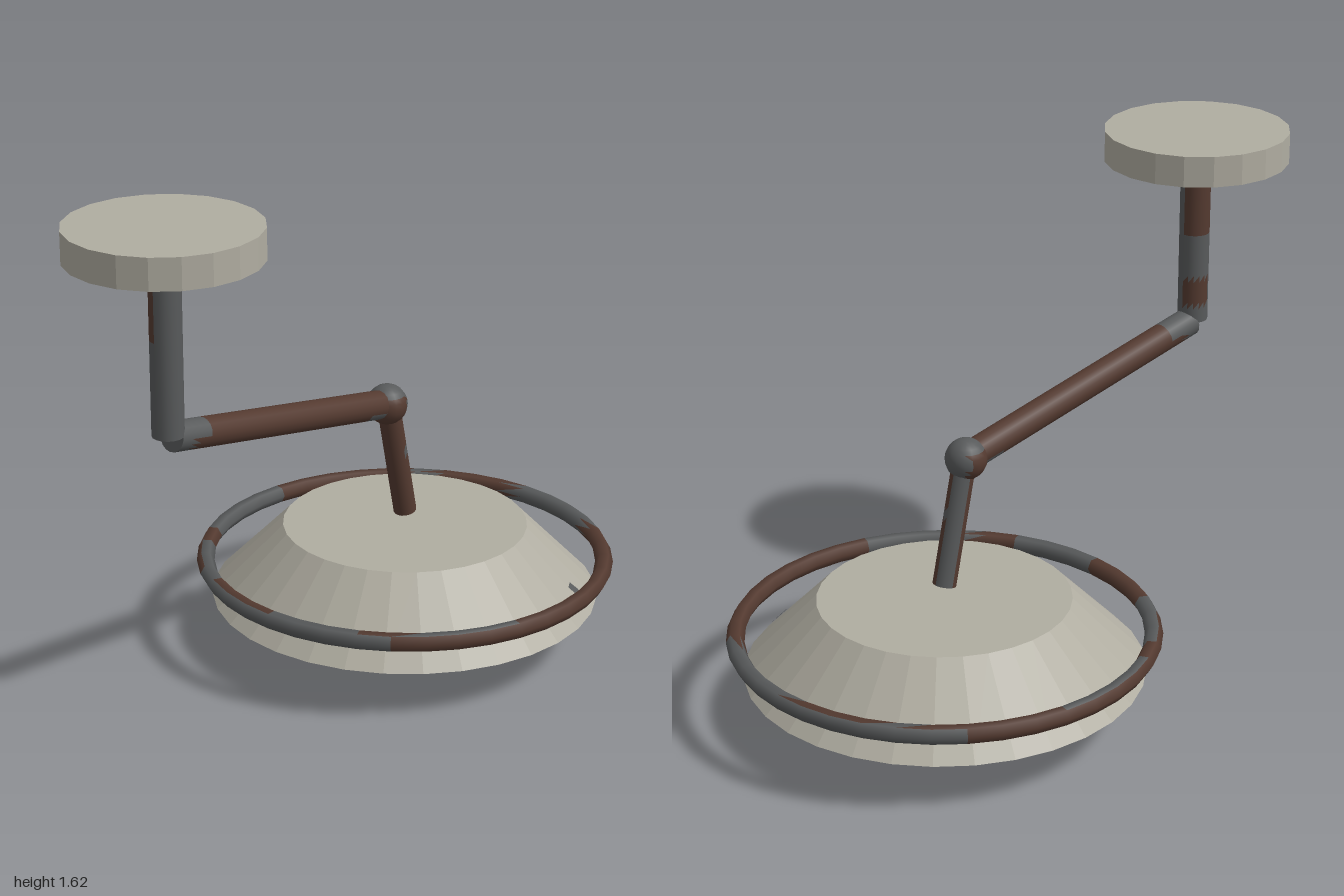
import * as THREE from 'three';

const mat = (name, color, flatShading = false) => {
  const m = new THREE.MeshStandardMaterial({ color, flatShading });
  m.name = name;
  return m;
};

// Splits a geometry into two material groups by a test on each face centre
function splitFaces(geometry, isSteel) {
  const g = geometry.toNonIndexed();
  const p = g.attributes.position;
  const sets = [[], []];
  for (let i = 0; i < p.count; i += 3) {
    const c = new THREE.Vector3();
    for (let k = 0; k < 3; k++) c.add(new THREE.Vector3().fromBufferAttribute(p, i + k));
    sets[isSteel(c.divideScalar(3)) ? 1 : 0].push(i, i + 1, i + 2);
  }
  g.setIndex([...sets[0], ...sets[1]]);
  g.clearGroups();
  g.addGroup(0, sets[0].length, 0);
  g.addGroup(sets[0].length, sets[1].length, 1);
  return g;
}

export function createModel() {
  const root = new THREE.Group();
  root.name = 'ceilingExamLamp';
  const enamel = mat('agedEnamel', 0xb0ada1);
  enamel.flatShading = true;
  const lensGlass = mat('lensGlass', 0xd8d3c7);
  const rust = mat('rust', 0x543a30);
  const steel = mat('darkSteel', 0x585a5b);
  const worn = [rust, steel];

  const add = (name, geometry, material, x = 0, y = 0, z = 0, parent = root) => {
    const m = new THREE.Mesh(geometry, material);
    m.name = name;
    m.position.set(x, y, z);
    parent.add(m);
    return m;
  };

  // Rod between two points in the z = 0 plane; the test gets t from start to end
  const rod = (name, r, a, b, isSteel) => {
    const dx = b[0] - a[0], dy = b[1] - a[1], len = Math.hypot(dx, dy);
    const g = splitFaces(new THREE.CylinderGeometry(r, r, len, 16, 24),
      (c) => isSteel(c.y / len + 0.5, c.x / r, c.z / r));
    const m = add(name, g, worn, (a[0] + b[0]) / 2, (a[1] + b[1]) / 2);
    m.rotation.z = Math.atan2(-dx, dy);
    return m;
  };

  // Ceiling mount and jointed arm
  add('ceilingPlate', new THREE.CylinderGeometry(0.285, 0.285, 0.095, 20), enamel, -0.715, 1.573);
  rod('dropPole', 0.047, [-0.715, 1.0], [-0.715, 1.53],
    (t, x, z) => !(z < -0.05 && (t > 0.53 || (t > 0.1 && t < 0.27 && x > -0.3))));
  rod('upperArm', 0.045, [-0.7, 0.992], [0.25, 0.81],
    (t, x) => t < 0.1 + (x < 0 ? 0.03 : -0.04) || (t > 0.87 && x > 0.3));
  rod('lowerArm', 0.036, [0.25, 0.81], [0.337, 0.425],
    (t, x, z) => x < 0 && z < 0 || (x < 0 && t > 0.4 && t < 0.48));
  add('elbowBall', splitFaces(new THREE.SphereGeometry(0.064, 16, 12),
    (c) => c.x > 0.03 || c.y > 0.035), worn, 0.245, 0.81);

  // Lamp head
  const head = new THREE.Group();
  head.name = 'lampHead';
  head.position.x = 0.337;
  root.add(head);
  add('lampShade', new THREE.CylinderGeometry(0.385, 0.61, 0.23, 32), enamel, 0, 0.27, 0, head);

  // Chipped enamel spot, laid on the sloping side of the shade
  const chip = new THREE.Shape();
  [[-0.022, 0.03], [0.008, 0.034], [0.02, 0], [0.022, -0.034], [0.002, -0.028], [-0.018, 0.002]]
    .forEach(([x, y], i) => (i ? chip.lineTo(x, y) : chip.moveTo(x, y)));
  const chipTurn = new THREE.Group();
  chipTurn.name = 'enamelChip';
  chipTurn.rotation.y = 0.43;
  head.add(chipTurn);
  const steelChip = steel.clone();
  steelChip.side = THREE.DoubleSide;
  add('chipFace', new THREE.ShapeGeometry(chip), steelChip, 0, 0.214, 0.5565, chipTurn)
    .rotation.x = -Math.atan2(0.225, 0.23);

  // Rail around the shade, worn in patches
  const rail = new THREE.TorusGeometry(0.63, 0.028, 6, 40);
  rail.rotateX(Math.PI / 2);
  add('guardRail', splitFaces(rail, (c) => {
    const a = THREE.MathUtils.radToDeg(Math.atan2(c.z, c.x));
    if (Math.hypot(c.x, c.z) > 0.635) return Math.abs(a + 8) < 46 || Math.abs(a) > 142;
    return Math.sin(a * 0.12) + Math.sin(a * 0.05 + 1) > 0.1;
  }), worn, 0, 0.271, 0, head);

  // One central lens and a ring of six
  for (let i = 0; i < 7; i++) {
    const a = (i * Math.PI) / 3, d = i < 6 ? 0.307 : 0;
    add('lens', new THREE.CylinderGeometry(0.113, 0.113, 0.03, 20), lensGlass,
      Math.cos(a) * d, 0.143, Math.sin(a) * d, head);
  }

  // Handle under the lamp
  add('handle', splitFaces(new THREE.CylinderGeometry(0.023, 0.023, 0.15, 12),
    (c) => c.z < Math.abs(c.x) * 0.8), worn, 0, 0.075, 0, head);

  return root;
}
